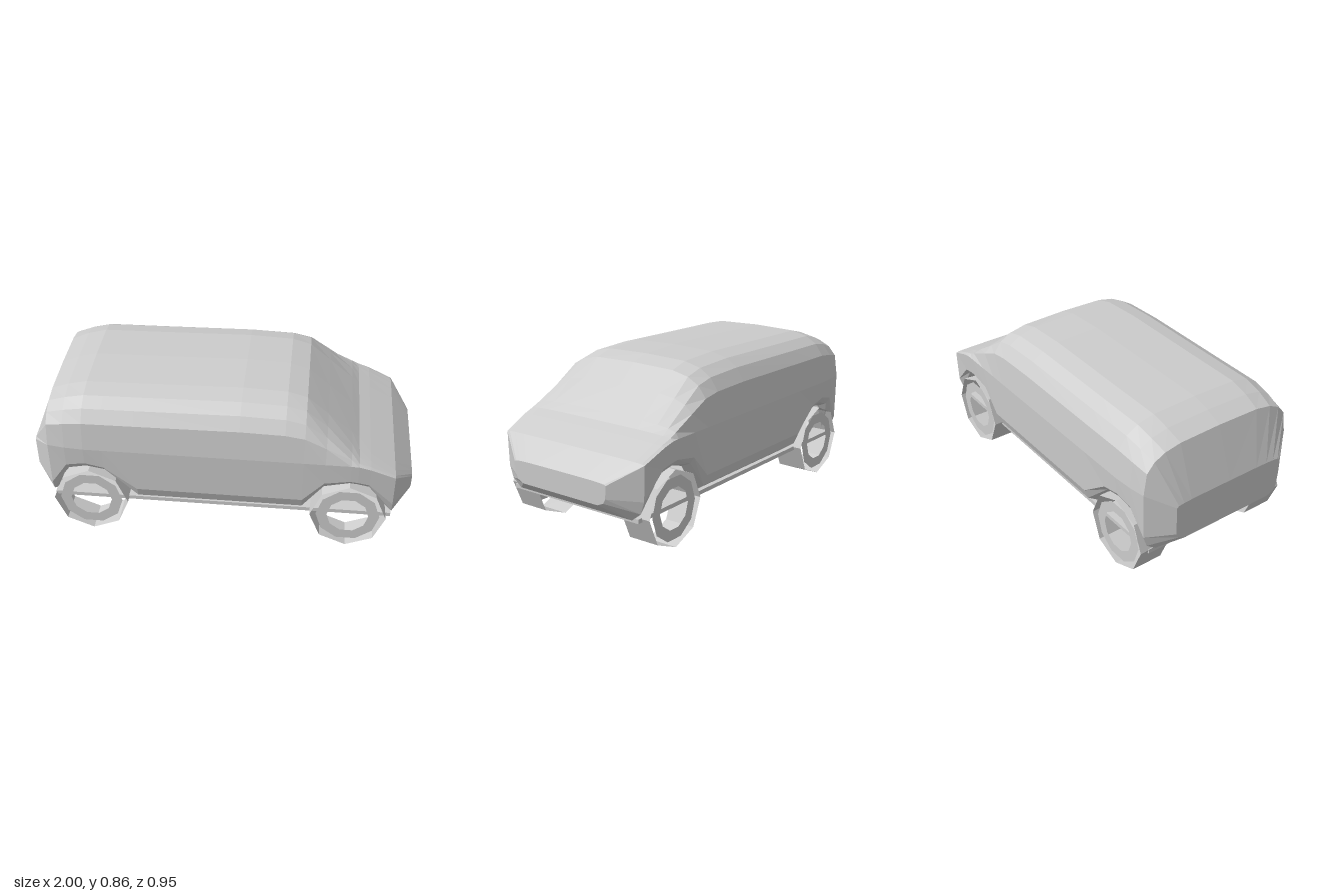
import * as THREE from 'three';

// Thin open shells throughout, so both sides show
const paint = new THREE.MeshStandardMaterial({ color: 0xcccccc, flatShading: true, side: THREE.DoubleSide });
paint.name = 'plain grey';

// Body stations: x, roof height, belt height, half width, arch outer edge, arch lip
const STATIONS = [
  [-1.0, 0.505, 0.49, 0.33, 0.33, 0.285],
  [-0.9, 0.775, 0.555, 0.452, 0.3, 0.198],
  [-0.81, 0.812, 0.555, 0.466, 0.437, 0.374],
  [-0.71, 0.838, 0.555, 0.473, 0.459, 0.405],
  [-0.61, 0.84, 0.555, 0.473, 0.437, 0.39],
  [-0.44, 0.843, 0.555, 0.473, 0.305, 0.208],
  [0.1, 0.855, 0.555, 0.473, 0.305, 0.208],
  [0.33, 0.845, 0.555, 0.473, 0.305, 0.208],
  [0.43, 0.816, 0.555, 0.473, 0.305, 0.208],
  [0.54, 0.72, 0.555, 0.473, 0.427, 0.368],
  [0.67, 0.607, 0.555, 0.473, 0.45, 0.405],
  [0.71, 0.572, 0.553, 0.472, 0.445, 0.4],
  [0.77, 0.547, 0.535, 0.467, 0.43, 0.384],
  [0.9, 0.487, 0.48, 0.453, 0.3, 0.192],
  [1.0, 0.387, 0.377, 0.3, 0.31, 0.27],
];

// Roof curve: [share of half width, share of height above the belt]
const ROOF = [[0, 1], [0.53, 0.977], [0.73, 0.9], [0.867, 0.765], [0.962, 0.54], [1, 0]];

// Cross-section running from the right lip over the roof to the left lip
function section([x, top, belt, w, arch, lip]) {
  const half = ROOF.map(([z, f]) => [x, belt + (top - belt) * f, z * w]);
  half.push([x, arch, w * 0.987], [x, lip + (arch - lip) * 0.4, w * 0.94], [x, lip, w * 0.82]);
  const mirrored = half.slice(1).reverse().map(([a, b, c]) => [a, b, -c]);
  return [...mirrored, ...half];
}

function bodyGeometry() {
  const rings = STATIONS.map(section);
  const n = rings[0].length;
  const last = rings.length - 1;
  const pos = [];
  const tri = (a, b, c) => pos.push(...a, ...b, ...c);
  for (let i = 0; i < last; i++) {
    // Nose and tail are closed underneath; the middle is open above the floor
    const closed = i === 0 || i === last - 1;
    for (let j = 0; j < (closed ? n : n - 1); j++) {
      const k = (j + 1) % n;
      const a = rings[i][j], b = rings[i][k], c = rings[i + 1][k], d = rings[i + 1][j];
      tri(a, b, c);
      tri(a, c, d);
    }
  }
  // Flat end panels
  for (const [ring, front] of [[rings[0], false], [rings[last], true]]) {
    const mid = [ring[0][0], (ring[0][1] + ring[(n - 1) / 2][1]) / 2, 0];
    for (let j = 0; j < n; j++) {
      const a = ring[j], b = ring[(j + 1) % n];
      if (front) tri(mid, a, b);
      else tri(mid, b, a);
    }
  }
  const g = new THREE.BufferGeometry();
  g.setAttribute('position', new THREE.Float32BufferAttribute(pos, 3));
  g.computeVertexNormals();
  return g;
}

function addMesh(parent, name, geometry) {
  const mesh = new THREE.Mesh(geometry, paint);
  mesh.name = name;
  parent.add(mesh);
  return mesh;
}

// Open octagonal tyre with a ten-sided rim ring at its outer side
function createWheel(name) {
  const wheel = new THREE.Group();
  wheel.name = name;
  const width = 0.172;
  addMesh(wheel, 'tyre', new THREE.CylinderGeometry(0.2, 0.2, width, 8, 1, true).rotateX(Math.PI / 2));
  addMesh(wheel, 'rim', new THREE.RingGeometry(0.11, 0.168, 10).translate(0, 0, width / 2 - 0.01));
  return wheel;
}

export function createModel() {
  const car = new THREE.Group();
  car.name = 'van';
  addMesh(car, 'body', bodyGeometry());
  addMesh(car, 'floor', new THREE.BoxGeometry(1.8, 0.022, 0.82)).position.y = 0.194;
  for (const [end, x] of [['rear', -0.697], ['front', 0.674]]) {
    for (const side of [1, -1]) {
      const wheel = createWheel(end + (side > 0 ? 'WheelNear' : 'WheelFar'));
      wheel.position.set(x, 0.2, side * 0.371);
      if (side < 0) wheel.rotation.y = Math.PI;
      car.add(wheel);
    }
  }
  return car;
}
